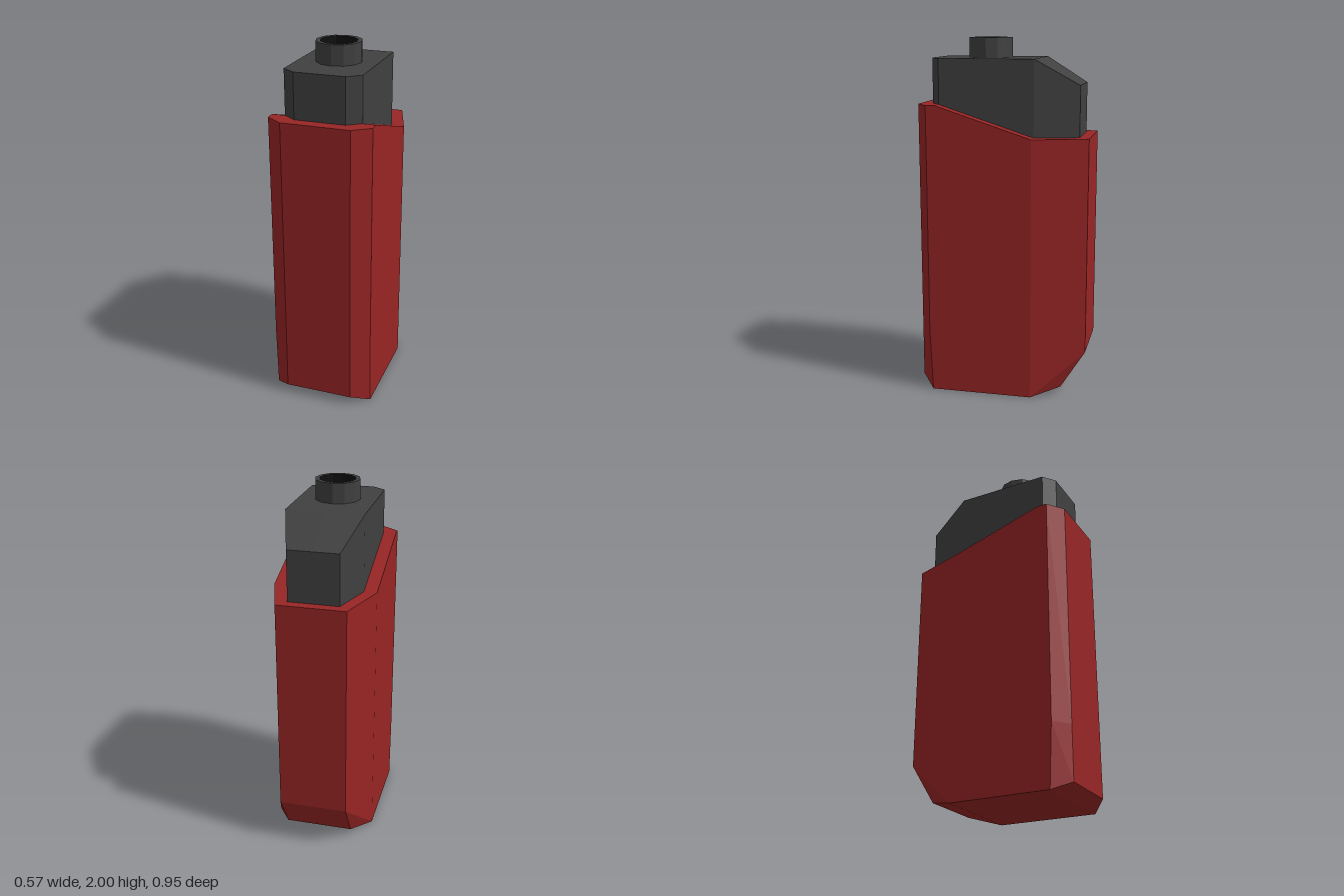
import * as THREE from 'three';

const red = new THREE.MeshStandardMaterial({ color: 0x982525 });
red.name = 'red casing';
const grey = new THREE.MeshStandardMaterial({ color: 0x404040 });
grey.name = 'dark grey plastic';
const black = new THREE.MeshStandardMaterial({ color: 0x0e0e0e });
black.name = 'black opening';

// Skins half rings (points [x, y, z] from front to back, listed bottom to top) and mirrors them across x = 0.
function mirroredLoft(halfRings) {
  const rings = halfRings.map((ring) => {
    const pts = ring.map((p) => new THREE.Vector3(...p));
    const first = pts[0].clone().setX(0);
    const last = pts[pts.length - 1].clone().setX(0);
    return [first, ...pts, last];
  });
  const positions = [];
  const addTriangle = (a, b, c) => {
    if (new THREE.Triangle(a, b, c).getArea() < 1e-7) return;
    for (const p of [a, b, c]) positions.push(p.x, p.y, p.z);
    for (const p of [a, c, b]) positions.push(-p.x, p.y, p.z);
  };
  for (let r = 0; r < rings.length - 1; r++) {
    const low = rings[r], high = rings[r + 1];
    for (let i = 0; i < low.length - 1; i++) {
      addTriangle(low[i], low[i + 1], high[i + 1]);
      addTriangle(low[i], high[i + 1], high[i]);
    }
  }
  const geometry = new THREE.BufferGeometry();
  geometry.setAttribute('position', new THREE.Float32BufferAttribute(positions, 3));
  geometry.computeVertexNormals();
  return geometry;
}

// Collapses a ring onto the centre plane, to close an end
const spine = (ring) => ring.map(([, y, z]) => [0, y, z]);

function facetedLathe(profile) {
  const points = profile.map(([r, y]) => new THREE.Vector2(r, y));
  const geometry = new THREE.LatheGeometry(points, 12).toNonIndexed();
  geometry.computeVertexNormals();
  return geometry;
}

function addPart(parent, name, geometry, material) {
  const mesh = new THREE.Mesh(geometry, material);
  mesh.name = name;
  parent.add(mesh);
  return mesh;
}

export function createModel() {
  const model = new THREE.Group();
  model.name = 'canister';

  // Casing: chamfered base, straight walls and a sloping shoulder
  const base = [[0.19, 0.05, 0.475], [0.285, 0, 0.39], [0.285, 0, 0.35], [0.285, 0, -0.18], [0.19, 0.04, -0.34]];
  const wall = [[0.19, 0.35, 0.475], [0.285, 0.35, 0.405], [0.285, 0.35, 0.35], [0.285, 0.35, -0.18], [0.19, 0.26, -0.478]];
  const rim = [[0.19, 1.64, 0.475], [0.285, 1.64, 0.405], [0.285, 1.64, 0.35], [0.285, 1.47, -0.18], [0.19, 1.47, -0.478]];
  const neck = [[0.14, 1.64, 0.405], [0.213, 1.64, 0.35], [0.213, 1.64, 0.35], [0.213, 1.47, -0.18], [0.14, 1.47, -0.42]];
  addPart(model, 'casing', mirroredLoft([spine(base), base, wall, rim, neck]), red);

  // Head: rises from the shoulder, with its top sloping down at the back
  const headHeights = [1.89, 1.89, 1.89, 1.89, 1.75];
  const headTop = neck.map(([x, , z], i) => [x, headHeights[i], z]);
  addPart(model, 'head', mirroredLoft([neck, headTop, spine(headTop)]), grey);

  // Nozzle with a dark opening
  const nozzle = new THREE.Group();
  nozzle.name = 'nozzle';
  nozzle.position.z = 0.105;
  addPart(nozzle, 'nozzleCollar', facetedLathe([[0.125, 1.88], [0.125, 2], [0.1, 2]]), grey);
  addPart(nozzle, 'nozzleOpening', facetedLathe([[0.1, 2], [0.1, 1.9], [0, 1.9]]), black);
  model.add(nozzle);

  return model;
}
